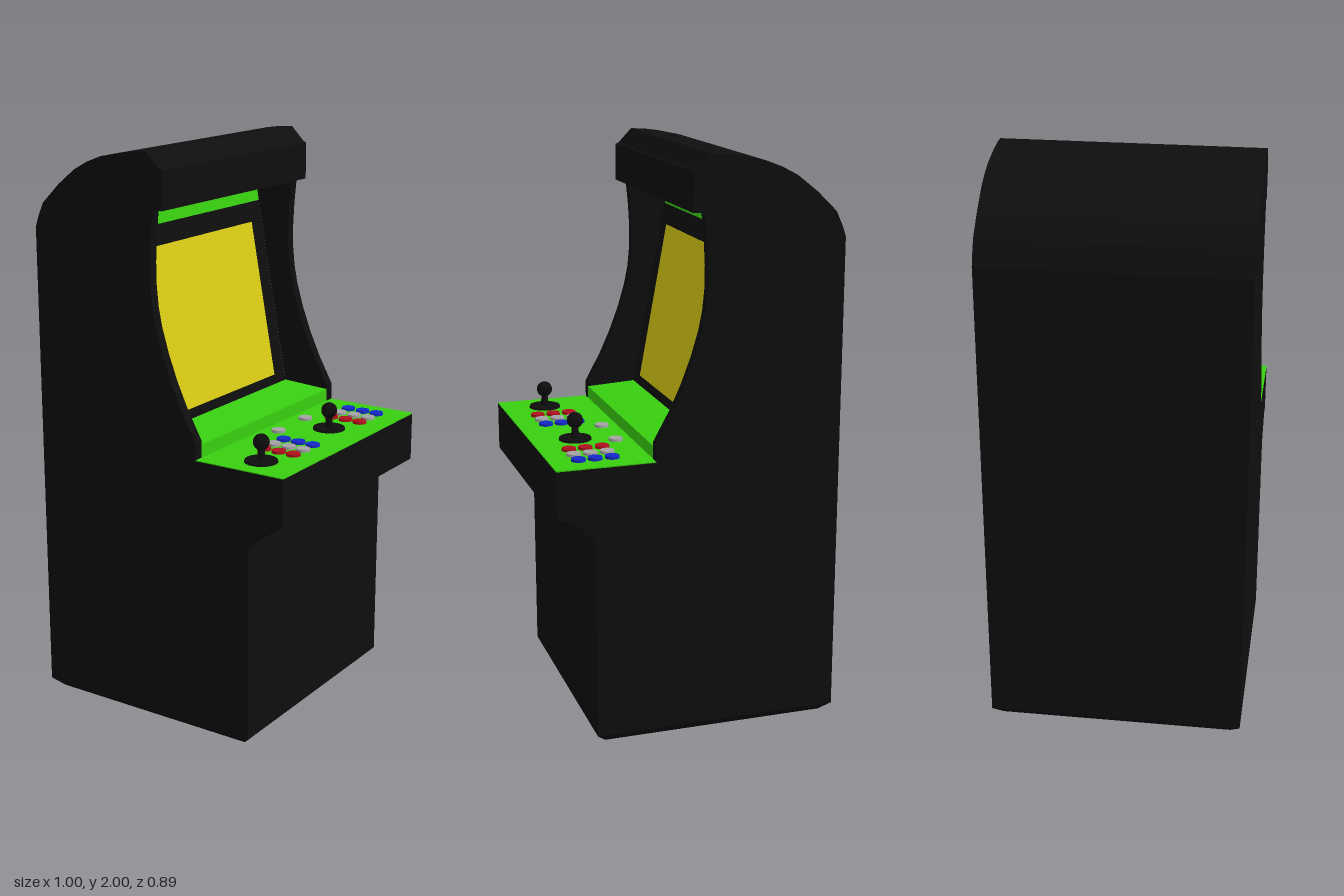
import * as THREE from 'three';

const mat = (color) => new THREE.MeshStandardMaterial({ color });
const black = mat(0x0e0e0e), green = mat(0x39d010), yellow = mat(0xdccd14);
const blue = mat(0x1428c8), grey = mat(0xa4a4a4), red = mat(0xb0101c);

const HALF = 0.445, INNER = 0.41;

export function createModel() {
  const root = new THREE.Group();

  function add(name, geometry, material, x = 0, y = 0, z = 0, parent = root) {
    const mesh = new THREE.Mesh(geometry, material);
    mesh.name = name;
    mesh.position.set(x, y, z);
    parent.add(mesh);
    return mesh;
  }
  // Extrude a side-on (x, y) profile across the cabinet from z0 to z1
  function slab(name, points, z0, z1, material) {
    const shape = new THREE.Shape(points.map(([x, y]) => new THREE.Vector2(x, y)));
    const geometry = new THREE.ExtrudeGeometry(shape, { depth: z1 - z0, bevelEnabled: false });
    return add(name, geometry, material, 0, 0, z0);
  }

  // Outline shared by the side panels and the inner cabinet
  const lowerFront = [[-0.5, 0.035], [0.365, 0.035], [0.365, 0.74], [0.445, 0.825],
    [0.495, 0.825], [0.495, 0.997], [0.155, 0.997]];
  const opening = [[0.155, 1.06], [0.1, 1.16], [0.06, 1.247], [0.025, 1.34], [0, 1.425],
    [-0.013, 1.49], [-0.02, 1.56], [-0.021, 1.64], [-0.017, 1.72], [-0.008, 1.815]];
  const hoodAndBack = [[0.03, 1.815], [0.03, 1.945], [0.018, 1.95], [-0.03, 2], [-0.08, 1.998], [-0.135, 1.99],
    [-0.215, 1.973], [-0.27, 1.952], [-0.325, 1.923], [-0.395, 1.868], [-0.465, 1.8], [-0.488, 1.75], [-0.5, 1.715]];
  const recess = [[-0.02, 0.997], [-0.165, 1.785], [-0.008, 1.815]];

  const sideProfile = [...lowerFront, ...opening, ...hoodAndBack];
  slab('leftSidePanel', sideProfile, INNER, HALF, black);
  slab('rightSidePanel', sideProfile, -HALF, -INNER, black);
  slab('cabinetCore', [...lowerFront, ...recess, ...hoodAndBack], -INNER, INNER, black);

  // Base with its lower edge chamfered all round
  const base = new THREE.BoxGeometry(0.865, 0.035, HALF * 2);
  const p = base.attributes.position;
  for (let i = 0; i < p.count; i++) {
    if (p.getY(i) < 0) {
      p.setX(i, p.getX(i) - Math.sign(p.getX(i)) * 0.035);
      p.setZ(i, p.getZ(i) - Math.sign(p.getZ(i)) * 0.035);
    }
  }
  const baseFlat = base.toNonIndexed();
  baseFlat.computeVertexNormals();
  add('base', baseFlat, black, -0.0675, 0.0175, 0);

  // Control panel top and the ledge below the screen
  add('controlPanelTop', new THREE.BoxGeometry(0.34, 0.004, HALF * 2), green, 0.325, 0.998, 0);
  slab('screenLedge', [[-0.03, 0.998], [0.155, 0.998], [0.155, 1.045], [-0.03, 1.055]], -INNER, INNER, green);

  // Tilted screen assembly: local x points out of the screen, y runs up it
  const display = new THREE.Group();
  display.name = 'display';
  display.position.set(-0.02, 0.997, 0);
  display.rotation.z = Math.atan2(0.145, 0.788);
  root.add(display);
  const L = Math.hypot(0.145, 0.788), k = L / 0.788;
  const panel = (name, y0, y1, halfWidth, depth, material) => add(name,
    new THREE.BoxGeometry(depth, (y1 - y0) * k, halfWidth * 2), material,
    depth / 2, ((y0 + y1) / 2 - 0.997) * k, 0, display);
  panel('screenBacking', 1.0, 1.785, INNER, 0.004, green);
  panel('screenFrame', 1.055, 1.725, 0.402, 0.009, black);
  panel('screen', 1.09, 1.655, 0.33, 0.012, yellow);

  // Buttons: two sets of three rows, plus two start buttons
  const buttonGeo = new THREE.CylinderGeometry(0.024, 0.025, 0.009, 20);
  const button = (name, material, x, z) => add(name, buttonGeo, material, x, 1.0045, z);
  [[-0.355, 'right'], [0.095, 'left']].forEach(([z0, side]) => {
    [[blue, 'Blue'], [grey, 'Grey'], [red, 'Red']].forEach(([material, label], row) => {
      for (const x of [0.28, 0.339, 0.396]) button(side + label + 'Button', material, x, z0 + row * 0.0627);
    });
  });
  for (const z of [-0.162, 0.019]) button('startButton', grey, 0.212, z);

  // Joysticks
  for (const z of [-0.107, 0.335]) {
    const stick = new THREE.Group();
    stick.name = 'joystick';
    stick.position.set(0.342, 1, z);
    root.add(stick);
    add('joystickPlate', new THREE.CylinderGeometry(0.055, 0.057, 0.007, 28), black, 0, 0.0035, 0, stick);
    add('joystickShaft', new THREE.CylinderGeometry(0.01, 0.015, 0.055, 14), black, 0, 0.03, 0, stick);
    add('joystickBall', new THREE.SphereGeometry(0.028, 20, 14), black, 0, 0.068, 0, stick);
  }

  return root;
}
